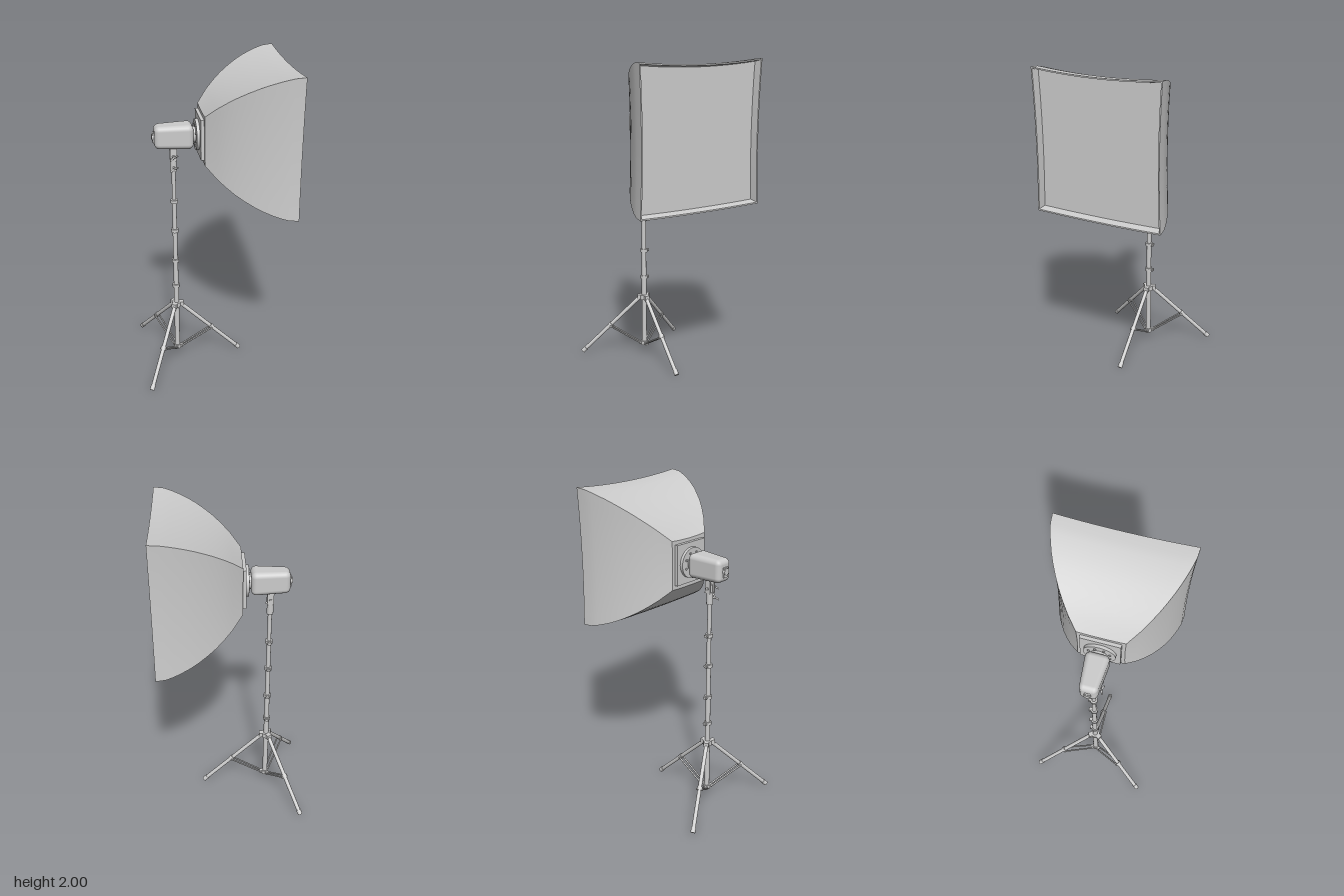
import * as THREE from 'three';
import { RoundedBoxGeometry } from 'three/addons/geometries/RoundedBoxGeometry.js';

const grey = new THREE.MeshStandardMaterial({ color: 0xcccccc });
const greyTwoSided = new THREE.MeshStandardMaterial({ color: 0xcccccc, side: THREE.DoubleSide });
const V = (x, y, z) => new THREE.Vector3(x, y, z);
const POLE_X = -0.23, BOX_Y = 1.575;

function add(parent, name, geometry, material = grey) {
  const mesh = new THREE.Mesh(geometry, material);
  mesh.name = name;
  parent.add(mesh);
  return mesh;
}

// Round bar from a to b
function bar(parent, name, a, b, rA, rB = rA, sides = 16) {
  const dir = b.clone().sub(a);
  const mesh = add(parent, name, new THREE.CylinderGeometry(rB, rA, dir.length(), sides));
  mesh.position.copy(a).addScaledVector(dir, 0.5);
  mesh.quaternion.setFromUnitVectors(V(0, 1, 0), dir.normalize());
  return mesh;
}

function box(parent, name, size, pos) {
  const mesh = add(parent, name, new THREE.BoxGeometry(...size));
  mesh.position.set(...pos);
  return mesh;
}

// Square sleeve around the x axis from rows of [x, half width]; fabric sags between the corners
function squareSleeve(rows) {
  const corners = [[1, 1], [1, -1], [-1, -1], [-1, 1]];
  const sag = [0.02, 0.012, -0.006, 0.01];
  const N = 12, pos = [], index = [];
  corners.forEach(([y0, z0], k) => {
    const [y1, z1] = corners[(k + 1) % 4];
    const base = pos.length / 3;
    rows.forEach(([x, h], i) => {
      for (let j = 0; j <= N; j++) {
        const t = j / N;
        const pull = sag[k] * (h / 0.4) * 4 * t * (1 - t);
        const y = (y0 + (y1 - y0) * t) * h * 1.0625 - (y0 + y1) / 2 * pull;
        const z = (z0 + (z1 - z0) * t) * h - (z0 + z1) / 2 * pull;
        pos.push(x, BOX_Y + y, z);
        if (i < rows.length - 1 && j < N) {
          const a = base + i * (N + 1) + j, b = a + N + 1;
          index.push(a, b, a + 1, b, b + 1, a + 1);
        }
      }
    });
  });
  const g = new THREE.BufferGeometry();
  g.setAttribute('position', new THREE.Float32BufferAttribute(pos, 3));
  g.setIndex(index);
  g.computeVertexNormals();
  return g;
}

function buildSoftbox() {
  const g = new THREE.Group();
  g.name = 'softbox';
  add(g, 'fabricShell', squareSleeve([[-0.06, 0.14], [0, 0.2], [0.05, 0.24], [0.1, 0.275], [0.15, 0.304],
    [0.2, 0.33], [0.25, 0.352], [0.3, 0.37], [0.345, 0.384], [0.39, 0.395], [0.45, 0.4]]), greyTwoSided);
  add(g, 'rim', squareSleeve([[0.45, 0.4], [0.45, 0.392]]), greyTwoSided);
  add(g, 'innerLip', squareSleeve([[0.45, 0.392], [0.405, 0.382]]), greyTwoSided);
  add(g, 'diffuser', squareSleeve([[0.405, 0.382], [0.405, 0]]), greyTwoSided);
  add(g, 'backPanel', squareSleeve([[-0.06, 0], [-0.06, 0.14]]), greyTwoSided);
  // Mounting plate and speed ring
  box(g, 'mountPlate', [0.02, 0.245, 0.234], [-0.07, BOX_Y, 0]);
  bar(g, 'speedRing', V(-0.098, BOX_Y, 0), V(-0.08, BOX_Y, 0), 0.093, 0.093, 40);
  bar(g, 'ringCollar', V(-0.114, BOX_Y, 0), V(-0.097, BOX_Y, 0), 0.048, 0.048, 32);
  for (let i = 0; i < 8; i++) {
    const a = (i + 0.5) * Math.PI / 4, y = BOX_Y + 0.066 * Math.cos(a), z = 0.066 * Math.sin(a);
    bar(g, 'ringBolt', V(-0.104, y, z), V(-0.097, y, z), 0.007, 0.007, 10);
  }
  return g;
}

function buildLamp() {
  const g = new THREE.Group();
  g.name = 'lampHead';
  // Housing, narrowed toward the rear
  const geo = new RoundedBoxGeometry(0.23, 0.148, 0.14, 5, 0.032);
  const p = geo.attributes.position;
  for (let i = 0; i < p.count; i++) {
    const t = THREE.MathUtils.clamp(p.getX(i) / 0.23 + 0.5, 0, 1);
    p.setZ(i, p.getZ(i) * (0.72 + 0.3 * t));
    p.setY(i, p.getY(i) * (0.92 + 0.08 * t));
  }
  add(g, 'housing', geo).position.set(-0.227, BOX_Y, 0);
  bar(g, 'rearKnob', V(-0.356, BOX_Y, 0), V(-0.335, BOX_Y, 0), 0.02, 0.022, 24);
  box(g, 'rearSocket', [0.012, 0.06, 0.036], [-0.344, BOX_Y - 0.005, 0]);
  // Tilt bracket and stand socket
  for (const s of [-1, 1]) box(g, 'bracketCheek', [0.04, 0.09, 0.008], [POLE_X, 1.465, s * 0.018]);
  bar(g, 'tiltBlock', V(POLE_X, 1.41, 0), V(POLE_X, 1.47, 0), 0.015);
  bar(g, 'tiltPin', V(POLE_X, 1.45, -0.028), V(POLE_X, 1.45, 0.04), 0.009);
  bar(g, 'standSocket', V(POLE_X, 1.35, 0), V(POLE_X, 1.425, 0), 0.02, 0.02, 20);
  // Wing screws toward the front
  for (const [y, z] of [[1.45, 0.045], [1.38, 0.05]]) {
    bar(g, 'screwShaft', V(POLE_X, y, 0), V(POLE_X, y, z), 0.006, 0.006, 10);
    for (const s of [-1, 1])
      bar(g, 'screwWing', V(POLE_X, y, z - 0.004), V(POLE_X + s * 0.022, y + s * 0.014, z + 0.008), 0.006, 0.005, 10);
  }
  return g;
}

function buildStand() {
  const g = new THREE.Group();
  g.name = 'lightStand';
  // Telescopic pole with a clamp at each joint
  const joints = [0.06, 0.55, 0.735, 0.95, 1.15, 1.4];
  for (let i = 0; i < 5; i++) {
    const r = 0.0165 - i * 0.001;
    bar(g, 'poleSection', V(POLE_X, joints[i], 0), V(POLE_X, joints[i + 1], 0), r);
    if (i === 0) continue;
    const y = joints[i];
    bar(g, 'poleClamp', V(POLE_X, y - 0.011, 0), V(POLE_X, y + 0.011, 0), 0.023, 0.023, 20);
    box(g, 'clampLug', [0.018, 0.016, 0.02], [POLE_X, y, -0.024]);
    bar(g, 'clampScrew', V(POLE_X - 0.014, y, -0.027), V(POLE_X + 0.014, y, -0.027), 0.005, 0.005, 8);
  }
  bar(g, 'upperHub', V(POLE_X, 0.393, 0), V(POLE_X, 0.425, 0), 0.029, 0.029, 24);
  bar(g, 'lowerHub', V(POLE_X, 0.062, 0), V(POLE_X, 0.09, 0), 0.023, 0.023, 24);
  // Three legs, each with a foot, clamp and brace
  for (let i = 0; i < 3; i++) {
    const leg = new THREE.Group();
    leg.name = 'leg';
    leg.position.x = POLE_X;
    leg.rotation.y = i * Math.PI * 2 / 3;
    const top = V(0.028, 0.407, 0), end = V(0.422, 0.013, 0);
    const at = (t) => top.clone().lerp(end, t);
    bar(leg, 'legTube', top, end, 0.0125);
    bar(leg, 'foot', at(0.94), at(1), 0.0155, 0.015);
    bar(leg, 'legClamp', at(0.49), at(0.53), 0.0165);
    box(leg, 'upperLug', [0.034, 0.03, 0.032], [0.029, 0.41, 0]);
    box(leg, 'lowerLug', [0.022, 0.02, 0.02], [0.024, 0.076, 0]);
    const joint = at(0.51);
    for (const s of [-1, 1])
      bar(leg, 'brace', V(0.026, 0.076, s * 0.011), V(joint.x, joint.y - 0.006, s * 0.015), 0.0055, 0.0055, 8);
    bar(leg, 'bracePin', V(joint.x, joint.y - 0.006, -0.022), V(joint.x, joint.y - 0.006, 0.022), 0.006, 0.006, 10);
    g.add(leg);
  }
  return g;
}

export function createModel() {
  const model = new THREE.Group();
  model.name = 'studioLight';
  model.add(buildSoftbox(), buildLamp(), buildStand());
  return model;
}
